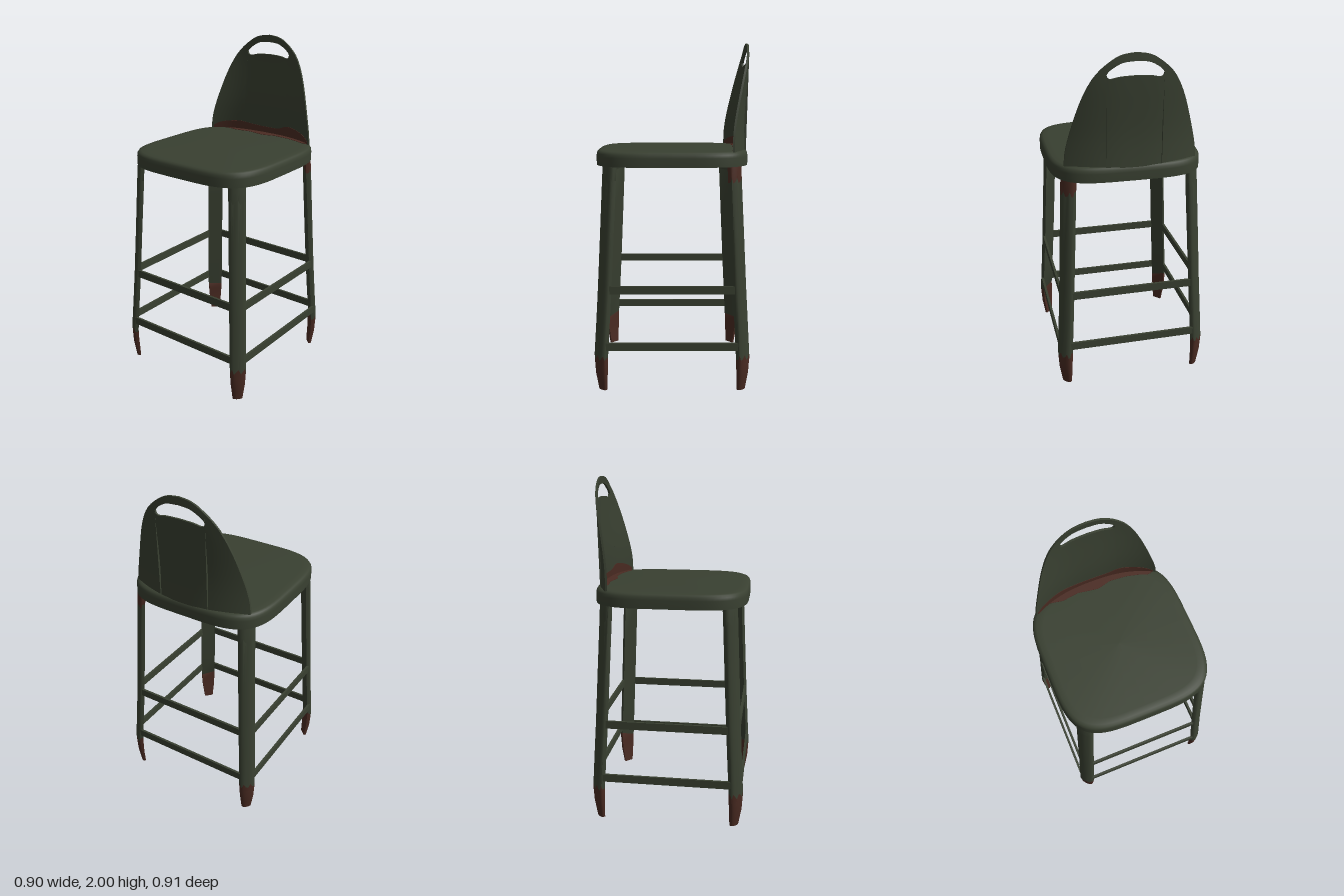
import * as THREE from 'three';
import { toCreasedNormals } from 'three/addons/utils/BufferGeometryUtils.js';

const green = new THREE.MeshStandardMaterial({ color: 0x394031 });
green.name = 'dark green paint';
const rust = new THREE.MeshStandardMaterial({ color: 0x4a2b22 });
rust.name = 'rust';

// Skin a list of equal closed rings; each ring runs anticlockwise seen from the far end
function loft(rings, capped = true) {
  const pos = [];
  const tri = (...p) => p.forEach((v) => pos.push(v[0], v[1], v[2]));
  const n = rings[0].length;
  for (let i = 0; i + 1 < rings.length; i++) {
    for (let j = 0; j < n; j++) {
      const k = (j + 1) % n, a = rings[i], b = rings[i + 1];
      tri(a[j], a[k], b[k]);
      tri(a[j], b[k], b[j]);
    }
  }
  if (capped) {
    const a = rings[0], b = rings[rings.length - 1];
    for (let j = 1; j + 1 < n; j++) {
      tri(a[0], a[j + 1], a[j]);
      tri(b[0], b[j], b[j + 1]);
    }
  }
  const g = new THREE.BufferGeometry();
  g.setAttribute('position', new THREE.Float32BufferAttribute(pos, 3));
  return toCreasedNormals(g, 0.7);
}

function add(parent, name, geometry, material) {
  const m = new THREE.Mesh(geometry, material);
  m.name = name;
  parent.add(m);
  return m;
}

// Straight-line lookup in a table of [x, y] rows
function lookup(table, x) {
  let i = 1;
  while (i < table.length - 1 && table[i][0] < x) i++;
  const [x0, y0] = table[i - 1], [x1, y1] = table[i];
  return y0 + (y1 - y0) * THREE.MathUtils.clamp((x - x0) / (x1 - x0), 0, 1);
}
const smoothTable = (rows) =>
  new THREE.SplineCurve(rows.map((r) => new THREE.Vector2(...r))).getPoints(60).map((p) => [p.x, p.y]);
const span = (a, b, n) => Array.from({ length: n + 1 }, (_, i) => a + ((b - a) * i) / n);

// Rounded square ring of the seat
function seatRing(s, y) {
  return span(0, 1, 72).slice(0, -1).map((u) => {
    const c = Math.cos(u * Math.PI * 2), d = Math.sin(u * Math.PI * 2);
    return [0.44 * s * Math.sign(c) * Math.sqrt(Math.abs(c)), y, -0.445 * s * Math.sign(d) * Math.sqrt(Math.abs(d))];
  });
}
const seatShell = (profile) => loft(profile.map(([s, y]) => seatRing(s, y)), false);

// Backrest: curved sheet between a lower and an upper line
const backCentre = smoothTable([[1.3, -0.437], [1.55, -0.427], [1.87, -0.448], [2, -0.445]]);
const backZ = (x, y) => lookup(backCentre, y) + Math.abs(x) ** 2.5;
const outline = smoothTable([[0, 2], [0.07, 1.99], [0.13, 1.96], [0.2, 1.9], [0.25, 1.825],
  [0.296, 1.715], [0.344, 1.555], [0.368, 1.45], [0.375, 1.37]]);
const slotTop = smoothTable([[0, 1.957], [0.07, 1.95], [0.12, 1.925], [0.145, 1.905], [0.155, 1.89]]);
const slotBottom = smoothTable([[0, 1.882], [0.08, 1.878], [0.13, 1.868], [0.148, 1.874], [0.155, 1.89]]);
const at = (table) => (x) => lookup(table, Math.abs(x));

function band(xs, low, high, zBack = -0.006, zFront = 0.006) {
  return loft(xs.map((x) => {
    const ys = span(low(x), high(x), 10);
    return [
      ...ys.map((y) => [x, y, backZ(x, y) + zBack]),
      ...ys.reverse().map((y) => [x, y, backZ(x, y) + zFront]),
    ];
  }));
}

// Leg: rounded outside, flat inside, splayed outward along the diagonal
const legOffset = [[0, 0.405], [0.1, 0.413], [0.2, 0.415], [0.6, 0.392], [1.3, 0.357], [1.36, 0.35]];
const legScale = [[0, 0.62], [0.1, 0.88], [0.2, 1], [1.36, 1]];
const legSection = [[0.047, -0.018], [-0.047, -0.018],
  ...span(Math.PI, 0, 10).map((a) => [0.047 * Math.cos(a), 0.02 * Math.sin(a)])];

function legPiece(ys, seed) {
  return loft(ys.map((y) => legSection.map(([t, r], j) => {
    const wavy = y === 0.2 || y === 1.22;
    const h = y + (wavy ? 0.018 * Math.sin(j * 2.1 + seed * 1.7) : 0);
    const s = lookup(legScale, y);
    return [t * s, h, r * s + lookup(legOffset, y) * Math.SQRT2];
  })));
}

export function createModel() {
  const model = new THREE.Group();
  model.name = 'barStool';

  // Seat pan with a hollow underside
  const seat = new THREE.Group();
  seat.name = 'seat';
  model.add(seat);
  add(seat, 'seatUnderside', seatShell([[0, 1.365], [0.95, 1.362], [0.968, 1.335]]), green);
  add(seat, 'seatInnerRust', seatShell([[0.968, 1.335], [0.972, 1.3]]), rust);
  add(seat, 'seatTop', seatShell([[0.972, 1.3], [1, 1.3], [1, 1.35], [0.996, 1.367], [0.98, 1.379],
    [0.95, 1.384], [0.88, 1.386], [0, 1.386]]), green);

  // Rust patch on the seat along the backrest
  const seatStain = [[-0.36, -0.355], [-0.28, -0.385], [-0.2, -0.37], [-0.1, -0.384], [-0.03, -0.372],
    [0.02, -0.365], [0.1, -0.386], [0.2, -0.378], [0.28, -0.358], [0.33, -0.338], [0.36, -0.352]];
  add(seat, 'seatRust', loft(span(-0.36, 0.36, 36).map((x) => {
    const back = backZ(x, 1.385), front = Math.max(lookup(seatStain, x), back + 0.003);
    return [[x, 1.38, back], [x, 1.388, back], [x, 1.388, front], [x, 1.38, front]];
  })), rust);

  // Backrest with a hand slot
  const back = new THREE.Group();
  back.name = 'backrest';
  model.add(back);
  const bottom = () => 1.3;
  const middle = span(-Math.PI / 2, Math.PI / 2, 28).map((a) => 0.155 * Math.sin(a));
  const right = span(0, Math.PI / 2, 14).map((a) => 0.155 + 0.22 * Math.sin(a));
  const left = right.map((x) => -x).reverse();
  add(back, 'backPanel', band(middle, bottom, at(slotBottom)), green);
  add(back, 'handle', band(middle, at(slotTop), at(outline)), green);
  add(back, 'backSideLeft', band(right, bottom, at(outline)), green);
  add(back, 'backSideRight', band(left, bottom, at(outline)), green);
  const stain = smoothTable([[-0.36, 1.4], [-0.31, 1.425], [-0.2, 1.44], [-0.1, 1.43], [0, 1.425],
    [0.1, 1.428], [0.17, 1.452], [0.25, 1.445], [0.32, 1.425], [0.36, 1.4]]);
  add(back, 'backRust', band(span(-0.36, 0.36, 40), () => 1.375, (x) => lookup(stain, x), 0, 0.008), rust);

  // Four legs with rusty feet
  for (let k = 0; k < 4; k++) {
    const leg = new THREE.Group();
    leg.name = 'leg' + (k + 1);
    leg.rotation.y = Math.PI / 4 + (k * Math.PI) / 2;
    model.add(leg);
    add(leg, 'foot', legPiece([0, 0.05, 0.1, 0.15, 0.2], k), rust);
    add(leg, 'shaft', legPiece([0.2, 0.4, 0.6, 0.9, 1.22], k), green);
    add(leg, 'legTop', legPiece([1.22, 1.3, 1.36], k), k === 1 ? rust : green);
  }

  // Two levels of flat cross bars on all four sides
  for (const [y, out, half] of [[0.268, 0.438, 0.385], [0.598, 0.417, 0.365]]) {
    for (let k = 0; k < 4; k++) {
      const bar = add(model, 'crossBar', new THREE.BoxGeometry(half * 2, 0.046, 0.014), green);
      bar.rotation.y = (k * Math.PI) / 2;
      bar.position.set(Math.sin(bar.rotation.y) * out, y, Math.cos(bar.rotation.y) * out);
    }
  }
  return model;
}
